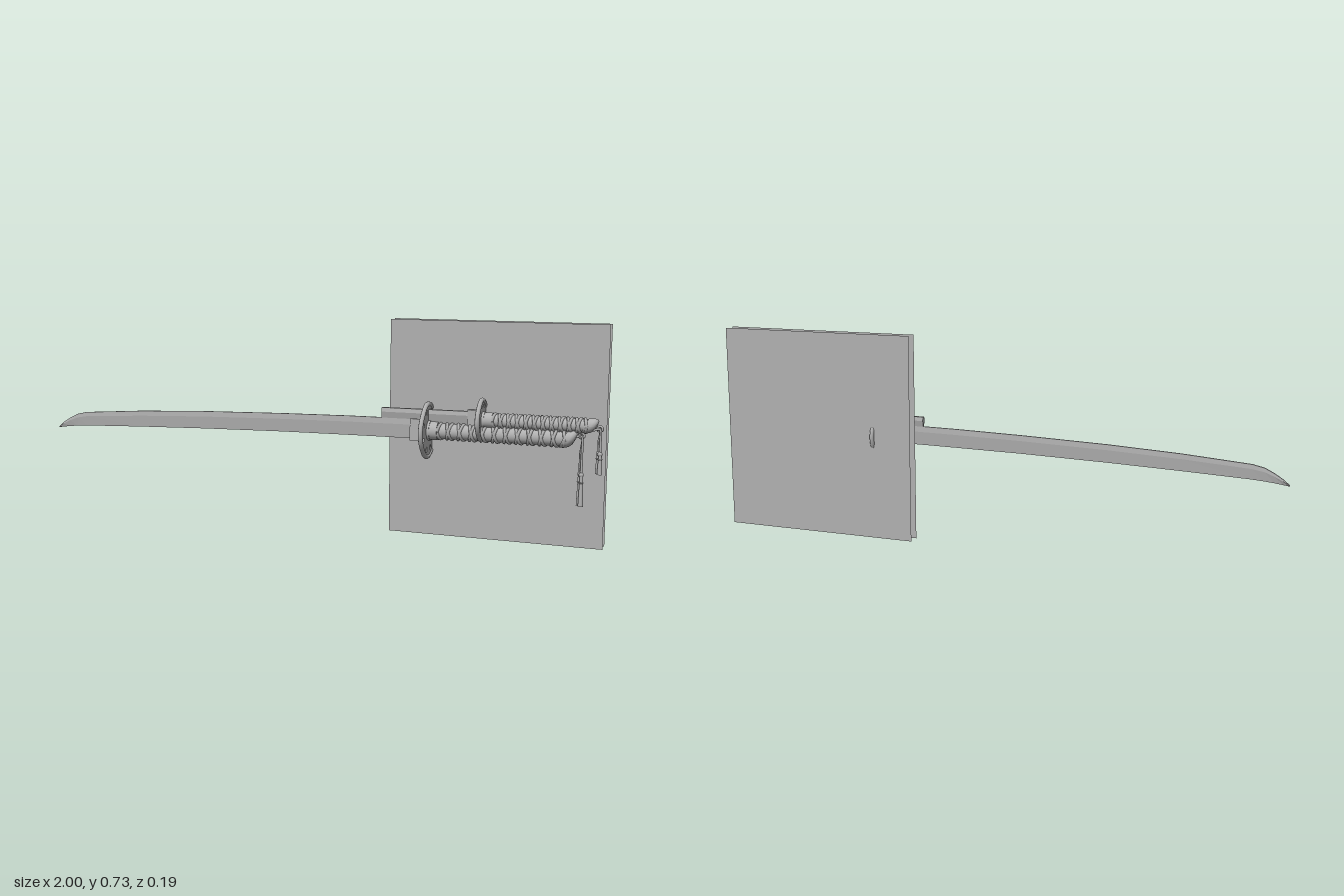
import * as THREE from 'three';

const steel = new THREE.MeshStandardMaterial({ color: 0xb0b0b0 });
steel.name = 'plain grey';
const sheet = new THREE.MeshStandardMaterial({ color: 0xb0b0b0, side: THREE.DoubleSide });
sheet.name = 'plain grey sheet';

function add(parent, geometry, name, material = steel) {
  const mesh = new THREE.Mesh(geometry, material);
  mesh.name = name;
  parent.add(mesh);
  return mesh;
}

// Joins rings of points along x; each ring runs front, bottom, back, top
function loft(rings) {
  const pos = [];
  const n = rings[0].length;
  const tri = (a, b, c) => pos.push(...a, ...b, ...c);
  for (let i = 0; i < rings.length - 1; i++) {
    const a = rings[i], b = rings[i + 1];
    for (let j = 0; j < n; j++) {
      const k = (j + 1) % n;
      tri(a[j], a[k], b[k]);
      tri(a[j], b[k], b[j]);
    }
  }
  const first = rings[0], last = rings[rings.length - 1];
  for (let j = 1; j < n - 1; j++) {
    tri(first[0], first[j + 1], first[j]);
    tri(last[0], last[j], last[j + 1]);
  }
  const g = new THREE.BufferGeometry();
  g.setAttribute('position', new THREE.Float32BufferAttribute(pos, 3));
  g.computeVertexNormals();
  return g;
}

// Blade with a flat spine, a side ridge and a sharp lower edge
function blade(stations, half) {
  return loft(stations.map(([x, top, low]) => {
    const ridge = top - (top - low) * 0.3;
    return [[x, top, half * 0.7], [x, ridge, half], [x, low, 0.0005],
      [x, low, -0.0005], [x, ridge, -half], [x, top, -half * 0.7]];
  }));
}

// Oval cylinder lying along x
function oval(x0, x1, y, ry, rz, endScale = 1) {
  const g = new THREE.CylinderGeometry(1, endScale, x1 - x0, 28);
  g.rotateZ(Math.PI / 2);
  // the untapered end faces the guard
  if (endScale !== 1) g.scale(1, 1, 1);
  return g.scale(1, ry, rz).translate((x0 + x1) / 2, y, 0);
}

// Four-lobed guard plate with drop-shaped openings and a raised rim
function guard(parent, x, y, r, thick) {
  const group = new THREE.Group();
  group.name = 'guard';
  const outline = [];
  for (let i = 0; i < 64; i++) {
    const a = (i / 64) * Math.PI * 2;
    const rad = r * (0.965 + 0.03 * Math.cos(4 * a));
    outline.push(new THREE.Vector2(Math.cos(a) * rad, Math.sin(a) * rad));
  }
  const shape = new THREE.Shape(outline);
  for (let q = 0; q < 4; q++) {
    for (const off of [0.37, 1.2]) {
      const mid = (q * Math.PI) / 2 + off;
      const drop = [];
      for (let i = 0; i < 12; i++) {
        const t = (i / 12) * Math.PI * 2;
        const u = r * (0.7 + 0.1 * Math.cos(t));
        const v = r * 0.07 * Math.sin(t) * (1 + 0.6 * Math.cos(t));
        drop.push(new THREE.Vector2(
          Math.cos(mid) * u - Math.sin(mid) * v, Math.sin(mid) * u + Math.cos(mid) * v));
      }
      shape.holes.push(new THREE.Path(drop));
    }
  }
  const plate = new THREE.ExtrudeGeometry(shape, { depth: thick * 0.5, bevelEnabled: false });
  plate.translate(0, 0, -thick * 0.25).rotateY(Math.PI / 2);
  add(group, plate, 'guardPlate');
  const path = new THREE.CatmullRomCurve3(
    outline.map((p) => new THREE.Vector3(0, p.y * 0.96, p.x * 0.96)), true);
  add(group, new THREE.TubeGeometry(path, 64, thick / 2, 8, true), 'guardRim');
  group.position.set(x, y, 0);
  parent.add(group);
}

// Two crossing cords wound along the grip
function wrap(parent, x0, x1, y, ry, rz, turns) {
  for (const dir of [1, -1]) {
    const pts = [];
    const count = turns * 12;
    for (let i = 0; i <= count; i++) {
      const t = i / count;
      const a = dir * t * turns * Math.PI * 2;
      pts.push(new THREE.Vector3(x0 + (x1 - x0) * t, y + Math.sin(a) * ry, Math.cos(a) * rz));
    }
    const curve = new THREE.CatmullRomCurve3(pts);
    add(parent, new THREE.TubeGeometry(curve, turns * 18, 0.0055, 6), 'gripCord');
  }
}

// Hanging cords, each with a knot and a flared fringe
function tassel(parent, x, top, bottom) {
  const group = new THREE.Group();
  group.name = 'tassel';
  const neck = bottom + (top - bottom) * 0.45;
  for (const s of [1, -1]) {
    const cord = new THREE.CatmullRomCurve3([
      new THREE.Vector3(x - 0.02, top - 0.004, s * 0.012),
      new THREE.Vector3(x, top, s * 0.008),
      new THREE.Vector3(x + s * 0.003, (top + neck) / 2, s * 0.004),
      new THREE.Vector3(x + s * 0.003, neck, s * 0.006)]);
    add(group, new THREE.TubeGeometry(cord, 20, 0.004, 6), 'tasselCord');
    add(group, new THREE.SphereGeometry(0.008, 12, 8), 'tasselKnot')
      .position.set(x + s * 0.003, neck, s * 0.006);
    const fringe = new THREE.CylinderGeometry(0.005, 0.0085, neck - bottom, 10);
    add(group, fringe, 'tasselFringe')
      .position.set(x + s * 0.004, (neck + bottom) / 2, s * 0.0075);
    add(group, new THREE.TorusGeometry(0.0065, 0.002, 6, 12).rotateX(Math.PI / 2), 'tasselBand')
      .position.set(x + s * 0.0035, neck - (neck - bottom) * 0.25, s * 0.007);
  }
  add(group, new THREE.TorusGeometry(0.008, 0.004, 8, 16), 'tasselLoop').position.set(x, top, 0);
  parent.add(group);
}

// Grip with guard, spacers, collar, cord and slanted end cap
function hilt(parent, o) {
  const { x0, x1, y, ry, rz } = o;
  guard(parent, x0 - 0.008, y, o.guard, 0.016);
  add(parent, oval(x0 - 0.02, x0 + 0.004, y, ry * 1.15, rz * 1.1), 'spacer');
  add(parent, oval(x0, x0 + 0.03, y, ry * 1.05, rz * 1.05), 'gripCollar');
  add(parent, oval(x0 + 0.02, x1 - 0.02, y, ry * 0.88, rz * 0.85), 'grip');
  wrap(parent, x0 + 0.03, x1 - 0.03, y, ry * 0.88, rz * 0.87, 11);
  const profile = [[0, 0.016], [0.6, 0.014], [0.9, 0.007], [1, -0.002], [1, -0.022]];
  const cap = new THREE.LatheGeometry(
    profile.map(([r, h]) => new THREE.Vector2(r, h)).reverse(), 28);
  cap.rotateZ(-Math.PI / 2).scale(1, ry, rz);
  const p = cap.attributes.position;
  for (let i = 0; i < p.count; i++) p.setX(i, p.getX(i) + p.getY(i) * 0.5);
  cap.computeVertexNormals();
  add(parent, cap, 'endCap', sheet).position.set(x1 - 0.016, y, 0);
}

export function createModel() {
  const model = new THREE.Group();
  model.name = 'swordPair';

  // Long sword
  const long = new THREE.Group();
  long.name = 'longSword';
  add(long, blade([
    [-1, 0.294, 0.291], [-0.98, 0.311, 0.294], [-0.95, 0.33, 0.298], [-0.92, 0.345, 0.301],
    [-0.88, 0.354, 0.304], [-0.65, 0.371, 0.313], [-0.4, 0.383, 0.321], [-0.1, 0.392, 0.328],
    [0.15, 0.397, 0.331], [0.38, 0.399, 0.333]], 0.0045), 'longBlade');
  add(long, new THREE.BoxGeometry(0.05, 0.074, 0.018), 'bladeCollar').position.set(0.39, 0.363, 0);
  hilt(long, { x0: 0.432, x1: 0.91, y: 0.363, ry: 0.029, rz: 0.03, guard: 0.0925 });
  tassel(long, 0.928, 0.375, 0.148);
  model.add(long);

  // Short sword, resting above the long one
  const short = new THREE.Group();
  short.name = 'shortSword';
  add(short, blade([[0.265, 0.432, 0.386], [0.57, 0.434, 0.387]], 0.008), 'shortBlade');
  add(short, new THREE.BoxGeometry(0.04, 0.054, 0.02), 'bladeCollar').position.set(0.58, 0.413, 0);
  hilt(short, { x0: 0.613, x1: 0.975, y: 0.408, ry: 0.024, rz: 0.025, guard: 0.068 });
  tassel(short, 0.984, 0.4, 0.255);
  model.add(short);

  // Two thin square panels behind the hilts
  for (const z of [-0.042, -0.085]) {
    add(model, new THREE.PlaneGeometry(0.72, 0.725), 'backPanel', sheet)
      .position.set(0.64, 0.3625, z);
  }
  return model;
}
